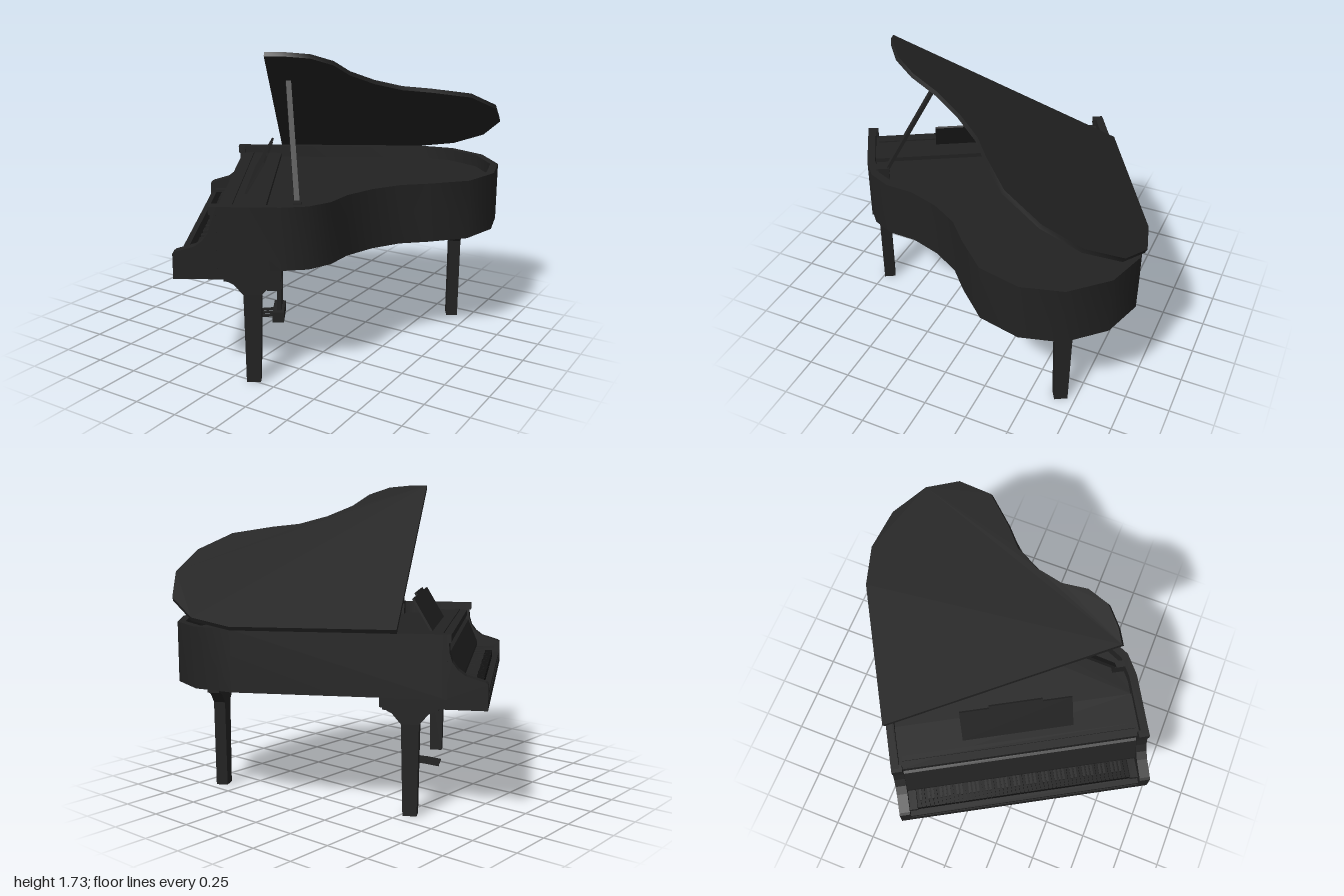
import * as THREE from 'three';
import { toCreasedNormals } from 'three/addons/utils/BufferGeometryUtils.js';

const black = new THREE.MeshStandardMaterial({ color: 0x222222 });
const dark = new THREE.MeshStandardMaterial({ color: 0x111111 });
const MID = 0.032; // middle of the keyboard across the case
const BASS = -0.692, TREBLE = 0.755;

// Curved case wall in plan [x, z], from the bass side round the tail to the treble side
const CURVE = [
  [-0.698, -0.674], [-0.629, -0.894], [-0.455, -1.055], [-0.211, -1.115], [0.01, -1.057],
  [0.188, -0.896], [0.26, -0.67], [0.295, -0.511], [0.384, -0.355], [0.508, -0.22],
  [0.644, -0.136], [0.729, -0.023], [TREBLE, 0.113],
];
const planFrom = (z) => [[BASS, z], ...CURVE, [TREBLE, z]];

// Moves an open outline inwards by d (outwards when negative)
function inset(points, d) {
  return points.map((p, i) => {
    const a = points[Math.max(i - 1, 0)], b = points[Math.min(i + 1, points.length - 1)];
    const tx = b[0] - a[0], tz = b[1] - a[1], len = Math.hypot(tx, tz);
    return [p[0] - (tz / len) * d, p[1] + (tx / len) * d];
  });
}

function extrude(points, depth) {
  const shape = new THREE.Shape(points.map(([x, y]) => new THREE.Vector2(x, y)));
  return new THREE.ExtrudeGeometry(shape, { depth, bevelEnabled: false });
}

// Slab with a plan outline [x, z], from y0 up to y1
function slab(points, y0, y1) {
  const g = extrude(points.map(([x, z]) => [x, -z]), y1 - y0);
  g.rotateX(-Math.PI / 2).translate(0, y0, 0);
  return toCreasedNormals(g, 0.7);
}

// Solid with a side profile [z, y], centred on x
function profile(points, width, x = 0) {
  const g = extrude(points, width);
  g.translate(0, 0, -width / 2).rotateY(-Math.PI / 2).translate(x, 0, 0);
  return g;
}

function add(parent, name, geometry, material = black) {
  const mesh = new THREE.Mesh(geometry, material);
  mesh.name = name;
  parent.add(mesh);
  return mesh;
}

// Box given by its limits
const box = (x0, x1, y0, y1, z0, z1) =>
  new THREE.BoxGeometry(x1 - x0, y1 - y0, z1 - z0)
    .translate((x0 + x1) / 2, (y0 + y1) / 2, (z0 + z1) / 2);

// Square rod between two points
function rod(from, to, w, h) {
  const a = new THREE.Vector3(...from), b = new THREE.Vector3(...to);
  const g = new THREE.BoxGeometry(w, h, a.distanceTo(b));
  const m = new THREE.Matrix4().lookAt(b, a, new THREE.Vector3(0, 1, 0));
  return g.applyMatrix4(m.setPosition(a.add(b).multiplyScalar(0.5)));
}

function addCase(piano) {
  const outer = planFrom(0.46);
  add(piano, 'rim', slab([...outer, ...inset(outer, 0.045).reverse()], 0.64, 0.975));
  add(piano, 'soundboard', slab(inset(planFrom(0.21), 0.02), 0.645, 0.905));
  add(piano, 'keybed', box(BASS, TREBLE, 0.59, 0.642, 0.113, 0.668));
  add(piano, 'keyslip', box(BASS + 0.05, TREBLE - 0.05, 0.64, 0.664, 0.632, 0.664));

  // Arms beside the keyboard
  const arm = [
    [0.44, 0.64], [0.668, 0.64], [0.668, 0.725], [0.655, 0.735], [0.555, 0.765], [0.515, 0.795],
    [0.485, 0.835], [0.472, 0.88], [0.468, 0.93], [0.48, 0.935], [0.48, 0.975], [0.44, 0.975],
  ];
  for (const s of [-1, 1]) {
    const x = MID + s * 0.6935;
    add(piano, 'arm', profile(arm, 0.06, x));
    const k = MID + s * 0.643;
    add(piano, 'keyBlock', box(k - 0.024, k + 0.024, 0.64, 0.695, 0.5, 0.635));
  }

  // Fallboard, shadow gap and the deck under the music desk
  add(piano, 'fallboard', profile(
    [[0.3, 0.64], [0.505, 0.64], [0.505, 0.695], [0.525, 0.705], [0.525, 0.725], [0.465, 0.868],
      [0.44, 0.875], [0.3, 0.875]], 1.33, MID));
  add(piano, 'gap', box(MID - 0.66, MID + 0.66, 0.87, 0.9, 0.205, 0.43), dark);
  add(piano, 'deck', box(MID - 0.68, MID + 0.68, 0.893, 0.93, 0.205, 0.455));
  add(piano, 'deckRail', box(MID - 0.66, MID + 0.66, 0.93, 0.938, 0.38, 0.41));
}

function addKeys(piano) {
  const keys = new THREE.Group();
  keys.name = 'keyboard';
  piano.add(keys);
  const n = 52, step = 1.236 / n;
  for (let i = 0; i < n; i++) {
    const x = MID - 0.618 + i * step;
    add(keys, 'naturalKey', box(x + 0.0008, x + step - 0.0008, 0.64, 0.68, 0.5, 0.625), dark);
    // Sharps follow the naturals A, C, D, F and G
    if (i < n - 1 && [0, 2, 3, 5, 6].includes(i % 7)) {
      add(keys, 'sharpKey', box(x + step - 0.007, x + step + 0.007, 0.675, 0.693, 0.5, 0.585));
    }
  }
}

function addLid(piano) {
  const lid = add(piano, 'lid', slab(
    inset(planFrom(0.205), -0.008).map(([x, z]) => [x - BASS, z]), 0, 0.024));
  lid.position.set(BASS, 0.977, 0);
  lid.rotation.z = Math.PI / 6;
  add(piano, 'lidProp', rod([0.665, 0.93, 0.035], [0.298, 1.54, 0.1], 0.028, 0.02));
  add(piano, 'propBlock', box(0.63, 0.7, 0.9, 0.982, 0.015, 0.055));
}

function addMusicDesk(piano) {
  const desk = new THREE.Group();
  desk.name = 'musicDesk';
  desk.position.set(0.036, 0.93, 0.34);
  desk.rotation.x = -Math.atan2(0.105, 0.18);
  piano.add(desk);
  add(desk, 'deskPanel', box(-0.315, 0.315, 0, 0.208, -0.012, 0));
  add(desk, 'deskCrest', box(-0.15, 0.15, 0.2, 0.225, -0.012, 0));
}

function addLeg(piano, name, x, z, top, turn) {
  const half = [
    [0.147, top], [0.147, 0.567], [0.128, 0.565], [0.095, 0.548], [0.047, 0.492], [0.0375, 0],
  ];
  const points = [...half, ...half.map(([w, y]) => [-w, y]).reverse()];
  const leg = add(piano, name, profile(points, 0.066));
  leg.position.set(x, 0, z);
  leg.rotation.y = turn;
}

function addPedals(piano) {
  const lyre = new THREE.Group();
  lyre.name = 'pedalLyre';
  lyre.position.x = 0.04;
  piano.add(lyre);
  for (const s of [-1, 1]) {
    add(lyre, 'lyrePost', box(s * 0.05 - 0.0135, s * 0.05 + 0.0135, 0.14, 0.6, 0.16, 0.187));
  }
  add(lyre, 'pedalBox', box(-0.094, 0.094, 0.085, 0.15, 0.145, 0.212));
  for (const x of [-0.05, 0, 0.05]) {
    add(lyre, 'pedal', rod([x, 0.115, 0.2], [x, 0.108, 0.28], 0.016, 0.012));
    add(lyre, 'pedalTip', rod([x, 0.108, 0.275], [x, 0.096, 0.355], 0.024, 0.01));
  }
}

export function createModel() {
  const model = new THREE.Group();
  model.name = 'grandPiano';
  const piano = new THREE.Group();
  piano.name = 'piano';
  piano.rotation.y = -Math.PI / 3; // keyboard turned away from the front
  model.add(piano);

  addCase(piano);
  addKeys(piano);
  addLid(piano);
  addMusicDesk(piano);
  addLeg(piano, 'bassLeg', -0.61, 0.266, 0.592, 0);
  addLeg(piano, 'trebleLeg', 0.69, 0.266, 0.592, 0);
  addLeg(piano, 'tailLeg', -0.254, -0.88, 0.645, Math.PI / 2);
  addPedals(piano);
  return model;
}
